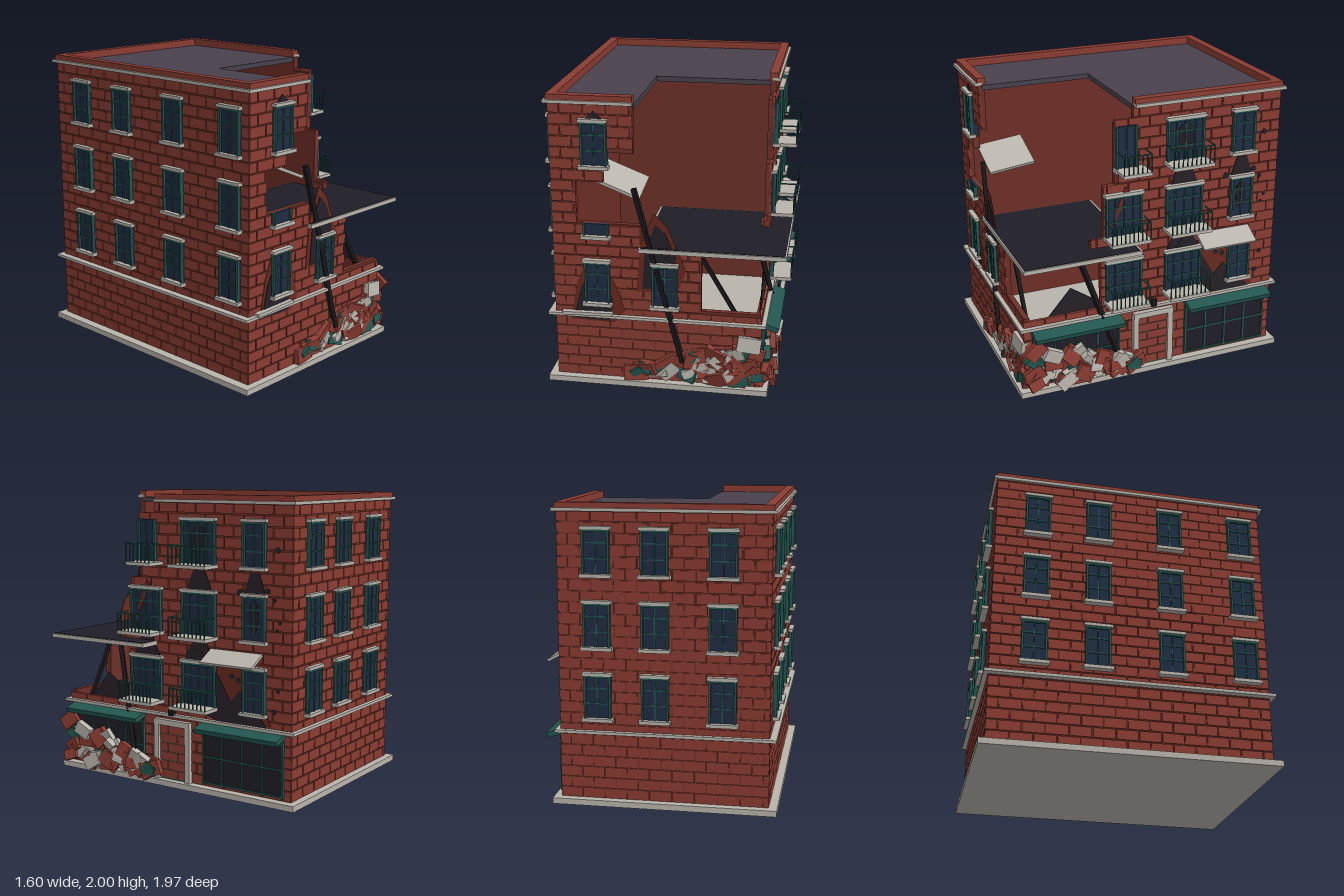
import * as THREE from 'three';
import { mergeGeometries } from 'three/addons/utils/BufferGeometryUtils.js';

const BRICK = 0x8a3c32, INNER = 0x6e2f27, STONE = 0xb9b4ac, TEAL = 0x22564f, DARK = 0x1f1d26,
  GLASS = 0x1f2c42, ROOF = 0x48414d, SOOT = 0x262028, SCAR = 0x68291f, IRON = 0x18181c;
const mats = {};
const mat = c => mats[c] ??= new THREE.MeshStandardMaterial({ color: c, flatShading: true });

let seed = 7;
const rnd = (a = 0, b = 1) => {
  seed = (seed * 16807) % 2147483647;
  return a + (b - a) * seed / 2147483647;
};

function mesh(parent, name, color, geo) {
  const m = new THREE.Mesh(geo, mat(color));
  m.name = name;
  parent.add(m);
  return m;
}
// Box given by its low and high corners
function box(parent, name, color, x0, x1, y0, y1, z0, z1) {
  const m = mesh(parent, name, color, new THREE.BoxGeometry(x1 - x0, y1 - y0, z1 - z0));
  m.position.set((x0 + x1) / 2, (y0 + y1) / 2, (z0 + z1) / 2);
  return m;
}
// Tilted box given by centre, size and rotation
function chunk(parent, name, color, pos, size, rot = [0, 0, 0]) {
  const m = mesh(parent, name, color, new THREE.BoxGeometry(...size));
  m.position.set(...pos);
  m.rotation.set(...rot);
  return m;
}
function pole(parent, name, a, b, r) {
  const A = new THREE.Vector3(...a), B = new THREE.Vector3(...b);
  const m = mesh(parent, name, IRON, new THREE.BoxGeometry(r, A.distanceTo(B), r));
  m.position.copy(A).lerp(B, 0.5);
  m.quaternion.setFromUnitVectors(new THREE.Vector3(0, 1, 0), B.sub(A).normalize());
}

// Parts of [u0, u1] at height y left standing between the holes [u0, y0, u1, y1]
function spans(u0, u1, y, holes) {
  let out = [[u0, u1]];
  for (const [a, b, c, d] of holes) if (y > b && y < d)
    out = out.flatMap(([s, e]) => [[s, Math.min(e, a)], [Math.max(s, c), e]].filter(([p, q]) => q - p > 0.012));
  return out;
}

// A wall facing local +z: flat shell with raised brick courses
function wall(root, name, angle, depth, u0, u1, holes = []) {
  const face = new THREE.Group();
  face.name = name;
  face.rotation.y = angle;
  root.add(face);
  const shell = [], bricks = [];
  const put = (list, a, b, y0, y1, z0, z1) =>
    list.push(new THREE.BoxGeometry(b - a, y1 - y0, z1 - z0).translate((a + b) / 2, (y0 + y1) / 2, (z0 + z1) / 2));
  const ys = [...new Set([0.04, 1.95, ...holes.flatMap(h => [h[1], h[3]])])].filter(y => y <= 1.95).sort((a, b) => a - b);
  for (let i = 0; i + 1 < ys.length; i++)
    for (const [a, b] of spans(u0 + 0.01, u1 - 0.01, (ys[i] + ys[i + 1]) / 2, holes))
      put(shell, a, b, ys[i], ys[i + 1], depth - 0.045, depth - 0.008);
  const h = 0.0735, w = 0.15, gap = 0.004;
  for (let r = 0; r < 26; r++) {
    const y = 0.04 + r * h;
    for (let u = u0 - (r % 2) * w / 2; u < u1; u += w)
      for (const [a, b] of spans(Math.max(u, u0) + gap, Math.min(u + w, u1) - gap, y + h / 2, holes))
        put(bricks, a, b, y + gap, Math.min(y + h, 1.95) - gap, depth - 0.02, depth);
  }
  mesh(face, name + 'Shell', INNER, mergeGeometries(shell));
  mesh(face, name + 'Bricks', BRICK, mergeGeometries(bricks));
  return face;
}

// Flat ragged patch on a wall
function patch(face, name, color, z, pts) {
  const s = new THREE.Shape(pts.map(p => new THREE.Vector2(...p)));
  mesh(face, name, color, new THREE.ExtrudeGeometry(s, { depth: 0.006, bevelEnabled: false })).position.z = z;
}

// Framed window with sill and lintel; cols panes across
function windowUnit(face, d, u, y, w, cols = 2, h = 0.32, lintel = true) {
  const g = new THREE.Group();
  g.name = 'window';
  face.add(g);
  const l = u - w / 2, r = u + w / 2, f = 0.014;
  box(g, 'glass', GLASS, l, r, y, y + h, d - 0.03, d + 0.012);
  for (const x of [l, r - f]) box(g, 'jamb', TEAL, x, x + f, y, y + h, d - 0.01, d + 0.028);
  for (let i = 1; i < cols; i++) box(g, 'mullion', TEAL, l + w * i / cols - 0.004, l + w * i / cols + 0.004, y, y + h, d, d + 0.02);
  if (lintel) for (const k of [0.36, 0.68]) box(g, 'glazingBar', TEAL, l, r, y + h * k - 0.004, y + h * k + 0.004, d, d + 0.018);
  box(g, 'sill', STONE, l - 0.014, r + 0.014, y - 0.005, y + 0.018, d - 0.01, d + 0.045);
  if (lintel) {
    box(g, 'frameHead', TEAL, l, r, y + h - 0.032, y + h - 0.018, d, d + 0.028);
    box(g, 'lintel', STONE, l - 0.01, r + 0.01, y + h - 0.018, y + h + 0.003, d - 0.01, d + 0.035);
  }
}

function balcony(face, d, u, y, w) {
  const g = new THREE.Group();
  g.name = 'balcony';
  face.add(g);
  const l = u - w / 2, r = u + w / 2, o = d + 0.155, t = 0.008, top = y + 0.145;
  box(g, 'balconySlab', STONE, l, r, y - 0.005, y + 0.018, d, o);
  box(g, 'frontRail', TEAL, l, r, top - t, top, o - t, o);
  for (const x of [l, r - t]) box(g, 'sideRail', TEAL, x, x + t, top - t, top, d + 0.04, o);
  const n = Math.round(w / 0.032);
  for (let i = 0; i <= n; i++) {
    const x = l + (w - t) * i / n;
    box(g, 'baluster', TEAL, x, x + t * 0.8, y + 0.018, top, o - t, o);
  }
}

function shopFront(face, d, u) {
  const l = u - 0.31, r = u + 0.31;
  box(face, 'shopGlass', DARK, l, r, 0.07, 0.44, d - 0.02, d + 0.012);
  for (let i = 0; i <= 4; i++) box(face, 'shopMullion', TEAL, l + 0.155 * i - 0.006, l + 0.155 * i + 0.006, 0.06, 0.44, d, d + 0.02);
  for (const y of [0.07, 0.25, 0.42]) box(face, 'shopBar', TEAL, l, r, y - 0.006, y + 0.006, d, d + 0.02);
  chunk(face, 'awning', TEAL, [u, 0.46, d + 0.05], [0.64, 0.035, 0.12], [0.3, 0, 0]);
}

export function createModel() {
  const root = new THREE.Group();
  root.name = 'ruinedBuilding';
  seed = 7;
  const FLOORS = [0.58, 1.055, 1.53], F = 0.935, R = 0.64, L = 0.745;

  // Plinth and the four walls of the hollow shell
  box(root, 'plinth', STONE, -0.8, 0.69, 0, 0.04, -0.98, 0.98);
  const front = wall(root, 'frontWall', 0, F, -L, R, [
    [-0.2, 1.63, 1, 2], [-0.4, 1.43, 1, 1.63], [-0.58, 1.15, 1, 1.43], [-0.16, 1, 1, 1.15], [0.24, 0.57, 1, 1]]);
  const right = wall(root, 'rightWall', Math.PI / 2, R, -F, F, [
    [-1, 1.85, -0.15, 2], [-1, 1.43, -0.28, 1.85], [-1, 1.05, -0.36, 1.43], [-1, 1, -0.45, 1.05], [-1, 0.52, -0.38, 1]]);
  const back = wall(root, 'backWall', Math.PI, F, -R, L);
  const left = wall(root, 'leftWall', -Math.PI / 2, L, -F, F);

  // String course, cornice and parapet
  box(root, 'stringCourse', STONE, -0.79, 0.67, 0.488, 0.508, 0.92, 0.965);
  box(root, 'stringCourse', STONE, -0.79, 0.67, 0.488, 0.508, -0.965, -0.92);
  box(root, 'stringCourse', STONE, 0.625, 0.67, 0.488, 0.508, -0.965, 0.965);
  box(root, 'stringCourse', STONE, -0.79, -0.73, 0.488, 0.508, -0.965, 0.965);
  for (const [name, c, y0, y1, o, t] of [['cornice', STONE, 1.945, 1.966, 0.025, 0.055], ['parapet', BRICK, 1.94, 2, 0.008, 0.06]]) {
    const x0 = -L - o, x1 = R + o, z = F + o;
    box(root, name, c, x0, -0.2, y0, y1, z - t, z);
    box(root, name, c, x0, x1, y0, y1, -z, t - z);
    box(root, name, c, x0, x0 + t, y0, y1, -z, z);
    box(root, name, c, x1 - t, x1, y0, y1, -z, 0.14);
  }

  // Roof with its missing corner, and the exposed floor slab
  const plan = [[-0.72, -0.91], [0.62, -0.91], [0.62, 0.14], [-0.19, 0.14], [-0.19, 0.91], [-0.72, 0.91]];
  const roof = new THREE.Shape(plan.map(([x, z]) => new THREE.Vector2(x, -z)));
  const roofMesh = mesh(root, 'roof', ROOF, new THREE.ExtrudeGeometry(roof, { depth: 0.035, bevelEnabled: false }));
  roofMesh.rotation.x = -Math.PI / 2;
  roofMesh.position.y = 1.915;
  box(root, 'floorSlab', STONE, -0.17, 0.79, 0.972, 1, 0.14, 0.965);
  box(root, 'floorCovering', DARK, -0.155, 0.78, 0.99, 1.003, 0.155, 0.955);

  // Windows
  for (const y of FLOORS) {
    for (const u of [-0.38, 0, 0.44]) windowUnit(back, F, u, y, 0.18);
    for (const u of [-0.65, -0.23, 0.27, 0.78]) windowUnit(left, L, u, y, 0.17);
    windowUnit(right, R, 0.655, y, 0.17);
    windowUnit(right, R, 0.22, y, 0.27, 4);
    balcony(right, R, 0.22, y, 0.3);
    const cut = y > 1.5;
    windowUnit(right, R, cut ? -0.205 : -0.22, y, cut ? 0.15 : 0.26, cut ? 2 : 4, cut ? 0.3 : 0.32, !cut);
    balcony(right, R, cut ? -0.18 : -0.22, y, cut ? 0.2 : 0.28);
  }
  windowUnit(front, F, -0.45, FLOORS[0], 0.17);
  windowUnit(front, F, -0.45, FLOORS[2], 0.17);
  windowUnit(front, F, -0.45, FLOORS[1], 0.17, 1, 0.095, false);
  windowUnit(front, F, 0, FLOORS[0], 0.17);

  // Shop fronts and bricked-up doorway
  shopFront(right, R, 0.565);
  shopFront(right, R, -0.565);
  for (const s of [-1, 1]) box(right, 'doorJamb', STONE, s * 0.13 - 0.02, s * 0.13 + 0.02, 0.04, 0.46, R - 0.01, R + 0.03);
  box(right, 'doorLintel', STONE, -0.15, 0.15, 0.425, 0.465, R - 0.01, R + 0.035);
  box(right, 'doorBacking', TEAL, -0.11, 0.11, 0.04, 0.425, R - 0.01, R + 0.004);
  for (let r = 0; r < 6; r++) for (let i = 0; i < 2; i++) {
    const m = (r % 2 ? -0.04 : 0.04), a = i ? m + 0.004 : -0.11, b = i ? 0.11 : m - 0.004;
    box(right, 'doorBrick', BRICK, a, b, 0.05 + r * 0.063, 0.107 + r * 0.063, R, R + 0.01);
  }
  box(right, 'doorLamp', IRON, -0.02, 0.02, 0.5, 0.55, R, R + 0.04);

  // Scorch marks and shell scars
  patch(front, 'scar', SCAR, F - 0.002, [[-0.64, 0.46], [-0.59, 0.72], [-0.52, 0.9], [-0.4, 0.85], [-0.32, 0.7], [-0.27, 0.54], [-0.34, 0.45]]);
  patch(front, 'scorch', SOOT, F + 0.002, [[-0.62, 0.47], [-0.57, 0.68], [-0.5, 0.82], [-0.4, 0.78], [-0.35, 0.6], [-0.37, 0.46]]);
  patch(front, 'scorch', SOOT, F, [[-0.51, 1.84], [-0.45, 1.9], [-0.38, 1.84]]);
  patch(front, 'scar', SCAR, F - 0.002, [[-0.19, 0.69], [-0.16, 1.02], [-0.07, 1.24], [0.02, 1.15], [0.09, 0.98], [0.14, 0.85], [0.08, 0.69]]);
  patch(front, 'scorch', SOOT, F + 0.002, [[-0.15, 0.71], [-0.13, 0.98], [-0.06, 1.17], [0.01, 1.1], [0.07, 0.95], [0.08, 0.72]]);
  for (const [u, y, w] of [[0.22, 0.9, 0.12], [0.22, 1.375, 0.1], [0.655, 1.375, 0.08], [-0.22, 0.9, 0.11]])
    patch(right, 'scorch', SOOT, R, [[u - w, y], [u + w, y], [u + w * 0.45, y + 0.13], [u - w * 0.45, y + 0.13]]);
  patch(right, 'scar', SCAR, R - 0.002, [[0.36, 0.5], [0.36, 0.93], [0.52, 0.92], [0.7, 0.72], [0.78, 0.52]]);
  patch(right, 'scorch', SOOT, R + 0.002, [[0.12, 0.6], [0.14, 0.85], [0.22, 0.98], [0.37, 0.82], [0.47, 0.65], [0.54, 0.73], [0.62, 0.66], [0.75, 0.51], [0.36, 0.51]]);
  patch(right, 'wallShard', SOOT, R - 0.03, [[-0.79, 0.5], [-0.59, 0.73], [-0.43, 0.62], [-0.38, 0.5]]);
  for (const [u, w] of [[0.22, 0.07], [0.655, 0.04]])
    patch(right, 'brokenPane', DARK, R + 0.009, [[u - w, u > 0.5 ? 1.15 : 1.65], [u, u > 0.5 ? 1.11 : 1.6], [u + w, u > 0.5 ? 1.17 : 1.67], [u + w * 0.7, u > 0.5 ? 1.31 : 1.78], [u, u > 0.5 ? 1.34 : 1.82], [u - w, u > 0.5 ? 1.29 : 1.75]]);
  patch(right, 'tornCurtain', SCAR, R + 0.01, [[-0.31, 1.09], [-0.28, 1.25], [-0.21, 1.42], [-0.15, 1.34], [-0.21, 1.33], [-0.27, 1.2]]);
  for (const [u, y, r] of [[0.82, 1.66, 0.02], [0.54, 1.38, 0.022], [0.75, 1.4, 0.02], [0.8, 1.34, 0.014], [0.84, 1.2, 0.012], [0.82, 1.15, 0.012],
    [0.48, 0.82, 0.02], [0.53, 0.8, 0.02], [0.83, 0.76, 0.014], [0.8, 0.62, 0.018]]) {
    const m = mesh(right, 'bulletHole', SOOT, new THREE.CylinderGeometry(r, r, 0.01, 7));
    m.rotation.x = Math.PI / 2;
    m.position.set(u, y, R);
  }

  // Hanging slabs and fallen beams
  chunk(root, 'hangingSlab', STONE, [-0.31, 1.39, 0.73], [0.3, 0.022, 0.33], [0.12, 0, -0.4]);
  chunk(root, 'tiltedLedge', STONE, [0.715, 0.95, -0.52], [0.15, 0.018, 0.4], [0, 0, -0.5]);
  chunk(root, 'fallenSill', STONE, [-0.52, 0.516, 0.95], [0.34, 0.022, 0.05], [0, 0, 0.02]);
  chunk(root, 'looseBrick', BRICK, [0.605, 1.015, 0.39], [0.05, 0.04, 0.09], [0, 0, 0.1]);
  pole(root, 'fallenBeam', [-0.2, 1.4, 0.93], [0.12, 0.2, 0.96], 0.03);
  pole(root, 'fallenBeam', [0.24, 0.92, 0.87], [0.58, 0.34, 0.87], 0.025);
  pole(root, 'fallenBeam', [0.56, 0.97, 0.53], [0.71, 0.22, 0.29], 0.03);

  // Rubble heaped along the broken corner
  const rubble = new THREE.Group();
  rubble.name = 'rubble';
  root.add(rubble);
  const tones = [BRICK, STONE, TEAL, BRICK, STONE];
  for (let i = 0; i < 110; i++) {
    const t = rnd(), s = rnd(0.06, 0.13), onFront = i % 2 === 0, peak = 0.1 + 0.27 * t;
    const y = 0.08 + rnd() * Math.max(peak - 0.06, 0.02), thin = rnd(0.03, 0.05);
    const pos = onFront ? [-0.2 + 0.86 * t, y, rnd(0.925, 0.945)] : [rnd(0.66, 0.72), y, 0.14 + 0.76 * t];
    const size = onFront ? [s * 1.3, s * 0.85, thin] : [thin, s * 0.85, s * 1.2];
    const tilt = rnd(-0.8, 0.8), a = rnd(-0.25, 0.25), b = rnd(-0.25, 0.25);
    chunk(rubble, 'rubblePiece', tones[Math.floor(rnd() * 5)], pos, size, onFront ? [a, b, tilt] : [tilt, a, b]);
  }
  return root;
}
